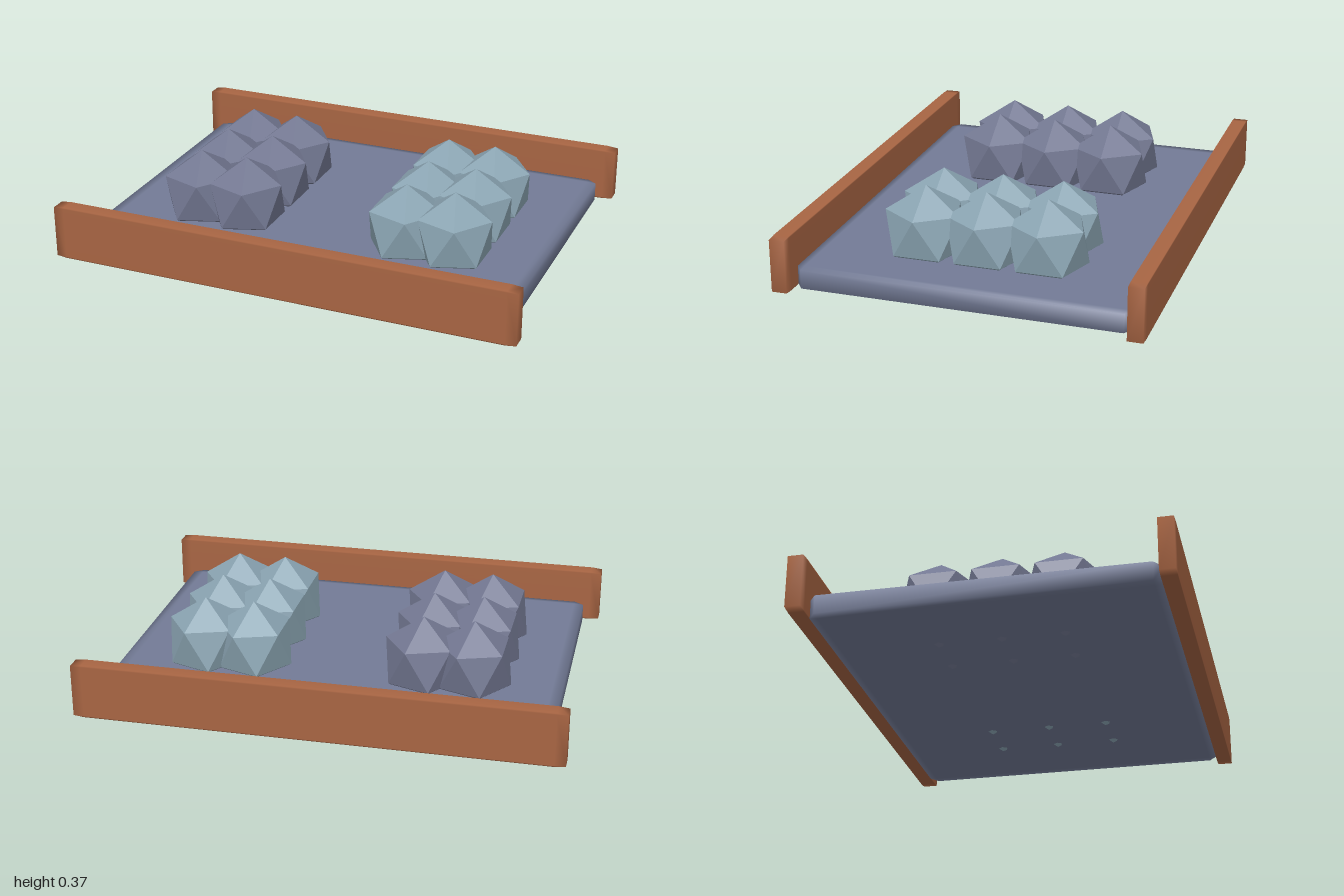
import * as THREE from 'three';
import { mergeVertices } from 'three/addons/utils/BufferGeometryUtils.js';
import { ConvexGeometry } from 'three/addons/geometries/ConvexGeometry.js';

// Box whose bevel is a fraction of each half size, shaded smooth
function bevelledBox(hx, hy, hz, bevel = 0.045) {
  const points = [];
  const inner = 1 - bevel;
  for (const x of [-1, 1]) for (const y of [-1, 1]) for (const z of [-1, 1]) {
    for (let axis = 0; axis < 3; axis++) {
      const s = [inner, inner, inner];
      s[axis] = 1;
      points.push(new THREE.Vector3(x * s[0] * hx, y * s[1] * hy, z * s[2] * hz));
    }
  }
  const hull = new ConvexGeometry(points);
  hull.deleteAttribute('normal');
  const geometry = mergeVertices(hull, 1e-5);
  geometry.computeVertexNormals();
  return geometry;
}

// Upright twenty-sided stone: two poles and two staggered rings of five
function stoneGeometry(rx, ry, rz) {
  const points = [new THREE.Vector3(0, ry, 0), new THREE.Vector3(0, -ry, 0)];
  const h = 1 / Math.sqrt(5), r = 2 / Math.sqrt(5);
  for (let i = 0; i < 5; i++) {
    const a = (i * 2 * Math.PI) / 5;
    const x = r * Math.cos(a), z = r * Math.sin(a);
    points.push(new THREE.Vector3(x * rx, h * ry, z * rz));
    points.push(new THREE.Vector3(-x * rx, -h * ry, -z * rz));
  }
  return new ConvexGeometry(points);
}

export function createModel() {
  const model = new THREE.Group();
  model.name = 'tray';

  const material = (color, flatShading = false) =>
    new THREE.MeshStandardMaterial({ color, flatShading });
  const add = (parent, name, geometry, mat, x, y, z) => {
    const mesh = new THREE.Mesh(geometry, mat);
    mesh.name = name;
    mesh.position.set(x, y, z);
    parent.add(mesh);
  };

  // Base slab
  add(model, 'base', bevelledBox(0.93, 0.041, 0.69), material(0x737b96), 0, 0.054, 0);

  // Side rails along the front and back
  const railGeometry = bevelledBox(1, 0.115, 0.033);
  const wood = material(0xa86543);
  add(model, 'frontRail', railGeometry, wood, 0, 0.129, 0.721);
  add(model, 'backRail', railGeometry, wood, 0, 0.129, -0.721);

  // Two clusters of stones, two by three each
  const stone = stoneGeometry(0.176, 0.1865, 0.185);
  const clusters = [
    ['rightStones', 0x737892, [-0.563, -0.352]],
    ['leftStones', 0x8aa4b2, [0.37, 0.579]],
  ];
  for (const [name, color, columns] of clusters) {
    const cluster = new THREE.Group();
    cluster.name = name;
    const mat = material(color, true);
    for (const x of columns) {
      for (const z of [-0.257, 0, 0.257]) add(cluster, 'stone', stone, mat, x, 0.1865, z);
    }
    model.add(cluster);
  }
  return model;
}
